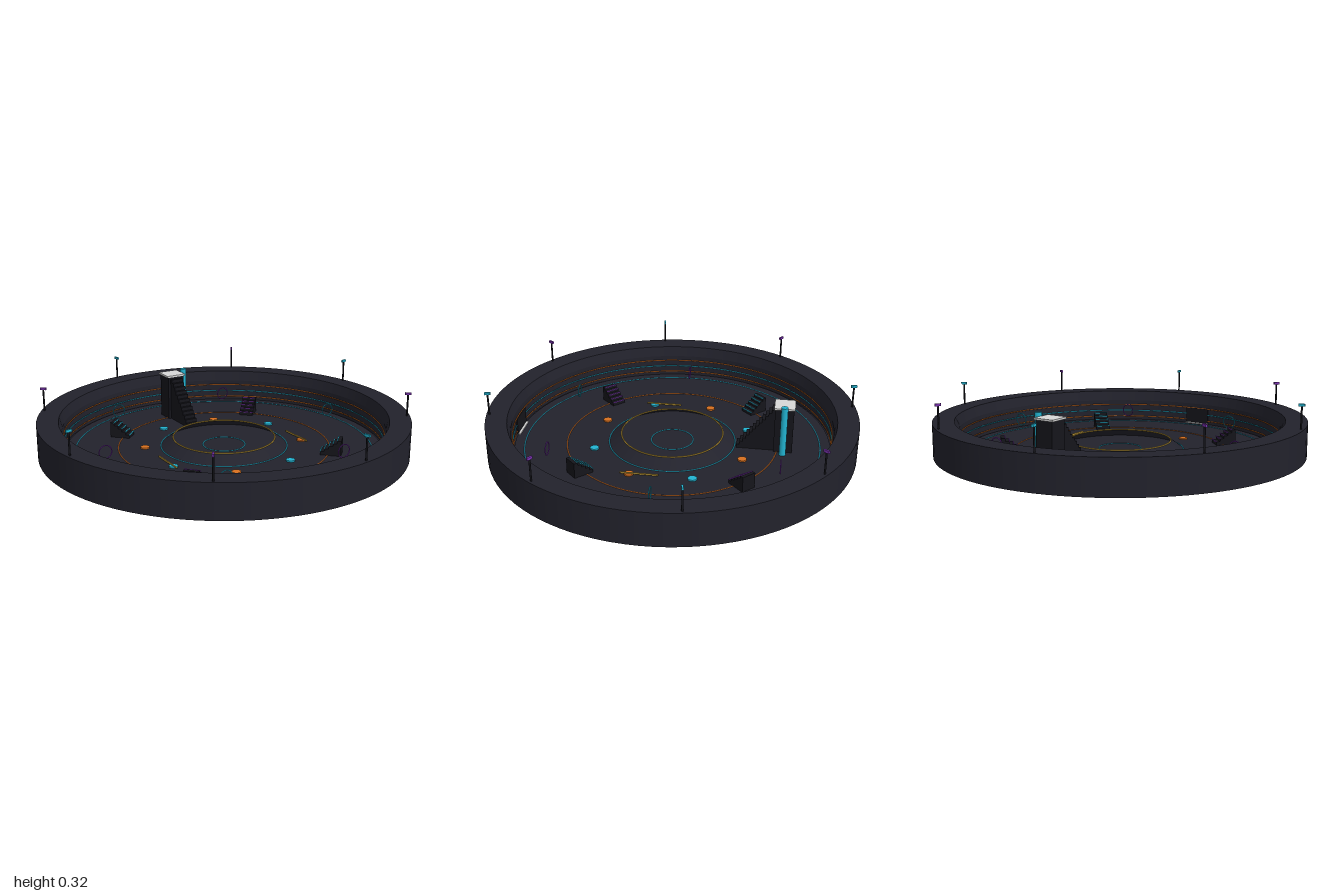
import * as THREE from 'three';

const mat = (name, color, side = THREE.FrontSide) => {
  const m = new THREE.MeshStandardMaterial({ color, side });
  m.name = name;
  return m;
};

export function createModel() {
  const slate = mat('slate', 0x22222c, THREE.DoubleSide);
  const black = mat('black', 0x15151b);
  const cyan = mat('cyan', 0x22b4d2);
  const orange = mat('orange', 0xd8701f);
  const purple = mat('purple', 0x7a32b0);
  const yellow = mat('yellow', 0xc9a23a);
  const white = mat('white', 0xd8d8d8);

  const arena = new THREE.Group();
  arena.name = 'arena';
  const add = (name, geo, material, x = 0, y = 0, z = 0, parent = arena) => {
    const mesh = new THREE.Mesh(geo, material);
    mesh.name = name;
    mesh.position.set(x, y, z);
    parent.add(mesh);
    return mesh;
  };
  const box = (w, h, d) => new THREE.BoxGeometry(w, h, d);
  const cyl = (r, h, n = 16) => new THREE.CylinderGeometry(r, r, h, n);
  const FLOOR = 0.015;

  // Floor slab and surrounding wall
  add('floor', cyl(0.86, FLOOR, 96), slate, 0, FLOOR / 2, 0);
  const corners = [[0.86, 0.01], [1, 0.01], [1, 0.193], [0.885, 0.193], [0.87, 0.135], [0.87, 0.01]];
  for (let i = 0; i < corners.length - 1; i++) {
    const edge = [corners[i], corners[i + 1]].map(([r, y]) => new THREE.Vector2(r, y));
    add('wall', new THREE.LatheGeometry(edge, 96), slate);
  }

  // Glowing rings on the floor, the central curb and the wall
  const ring = (name, r, y, material, tube = 0.003) => {
    add(name, new THREE.TorusGeometry(r, tube, 6, 96), material, 0, y, 0).rotation.x = Math.PI / 2;
  };
  ring('centreRing', 0.115, FLOOR, cyan);
  ring('curbBaseRing', 0.345, FLOOR, cyan);
  ring('middleFloorRing', 0.575, FLOOR, orange);
  ring('outerFloorRing', 0.805, FLOOR, cyan);
  ring('curbTopRing', 0.277, 0.062, yellow, 0.004);
  [[0.035, orange], [0.072, cyan], [0.11, orange]].forEach(([y, m]) => ring('wallRing', 0.862, y, m));

  // Sloping curb around the centre
  add('centreCurb', new THREE.CylinderGeometry(0.277, 0.342, 0.047, 96, 1, true), slate, 0, FLOOR + 0.0235, 0);

  // Floor pads
  for (let i = 0; i < 8; i++) {
    const a = (i + 0.5) * Math.PI / 4;
    add('floorPad', cyl(0.024, 0.008, 24), i % 2 ? cyan : orange,
      0.432 * Math.cos(a), FLOOR + 0.004, 0.432 * Math.sin(a));
  }

  // Yellow guide bars at both sides
  for (const s of [-1, 1]) add('guideBar', box(0.006, 0.008, 0.2), yellow, s * 0.404, 0.025, 0.11);

  // Upright hoops
  for (let i = 0; i < 6; i++) {
    const a = i * Math.PI / 3;
    add('hoop', new THREE.TorusGeometry(0.035, 0.003, 6, 32), i % 2 ? purple : cyan,
      0.7 * Math.cos(a), 0.1, 0.7 * Math.sin(a));
  }

  // Stepped stands at the four diagonals, rising outward
  for (let i = 0; i < 4; i++) {
    const a = Math.PI / 4 + i * Math.PI / 2;
    const stand = new THREE.Group();
    stand.name = 'steppedStand';
    stand.position.set(0.59 * Math.cos(a), 0, 0.59 * Math.sin(a));
    stand.rotation.y = Math.PI / 2 - a;
    const glow = i % 2 ? purple : cyan;
    for (let k = 0; k < 5; k++) {
      const h = 0.02 + k * 0.016, z = -0.044 + k * 0.022;
      add('standStep', box(0.08, h, 0.022), black, 0, FLOOR + h / 2, z, stand);
      add('standStepEdge', box(0.08, 0.004, 0.004), glow, 0, FLOOR + h, z - 0.011, stand);
    }
    arena.add(stand);
  }

  // Tower with stairs, pale roof and a light column
  add('tower', box(0.1, 0.252, 0.1), black, 0, FLOOR + 0.126, -0.605);
  add('towerRoof', box(0.115, 0.01, 0.11), white, 0, 0.272, -0.605);
  add('lightColumn', cyl(0.018, 0.28, 20), cyan, 0.075, FLOOR + 0.14, -0.605);
  const steps = 12;
  for (let k = 0; k < steps; k++) {
    const h = (k + 1) * 0.24 / steps, d = 0.2 / steps;
    add('towerStep', box(0.07, h, d), black, 0, FLOOR + h / 2, -0.355 - (k + 0.5) * d);
  }

  // Gate in the front wall
  add('gatePanel', box(0.15, 0.09, 0.008), black, 0, 0.065, 0.858);
  add('gateSill', box(0.15, 0.02, 0.012), white, 0, 0.011, 0.848);

  // Lamp posts on the rim
  for (let i = 0; i < 8; i++) {
    const a = -0.2 + i * Math.PI / 4;
    const post = new THREE.Group();
    post.name = 'lampPost';
    post.position.set(0.983 * Math.cos(a), 0, 0.983 * Math.sin(a));
    post.rotation.y = -a;
    add('lampPole', cyl(0.005, 0.125, 8), black, 0, 0.2525, 0, post);
    add('lampHead', box(0.032, 0.013, 0.01), i % 2 ? purple : cyan, 0, 0.3165, 0, post);
    arena.add(post);
  }
  return arena;
}
